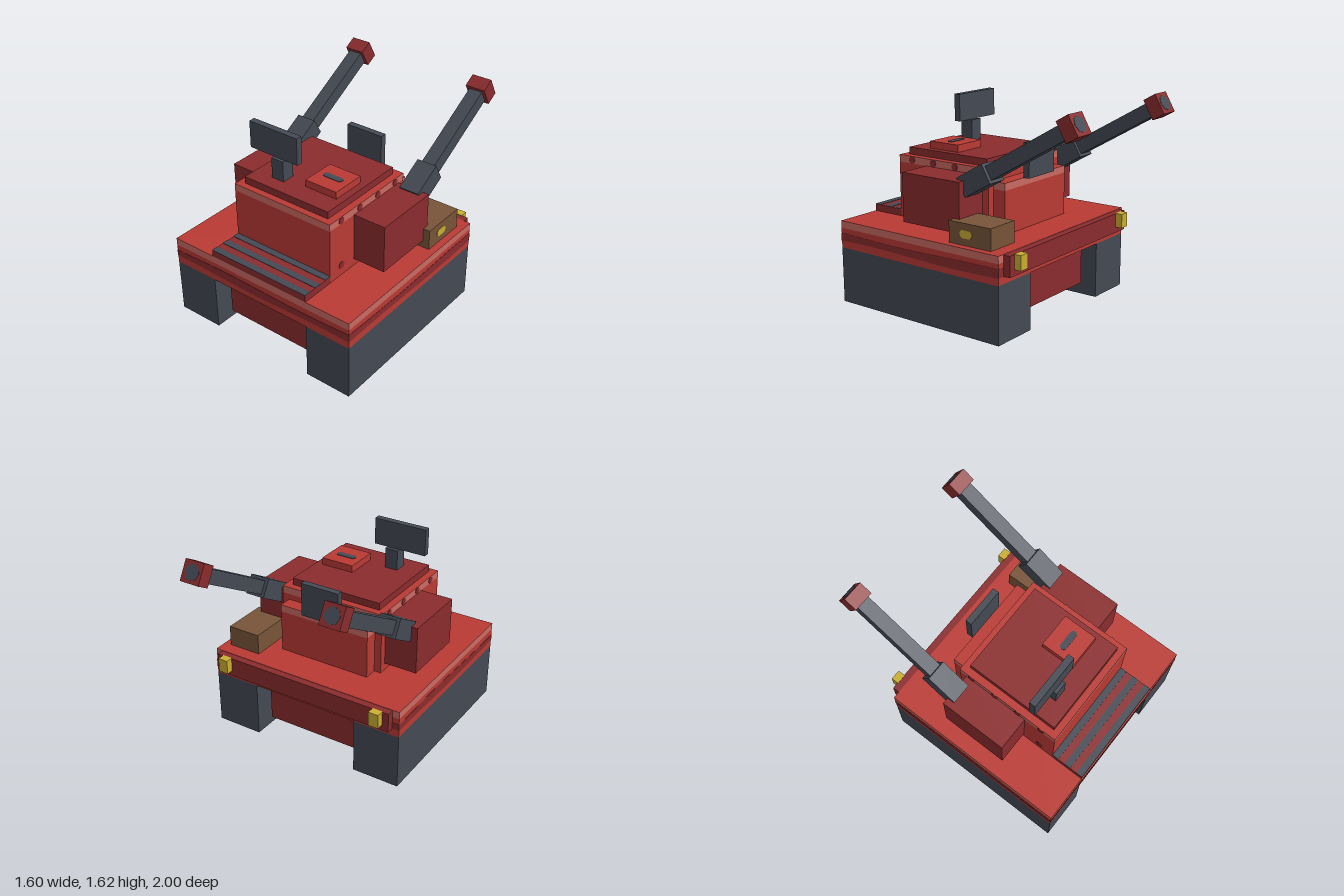
import * as THREE from 'three';

const paint = (name, color) => {
  const m = new THREE.MeshStandardMaterial({ color });
  m.name = name;
  return m;
};

export function createModel() {
  const red = paint('red', 0xba3a34);
  const darkRed = paint('dark red', 0x8b2c2e);
  const lightRed = paint('light red', 0xcb6a63);
  const steel = paint('dark steel', 0x444a54);
  const brown = paint('brown', 0x785439);
  const yellow = paint('yellow', 0xcaae32);

  const model = new THREE.Group();
  const add = (name, geometry, material, parent = model) => {
    const mesh = new THREE.Mesh(geometry, material);
    mesh.name = name;
    parent.add(mesh);
    return mesh;
  };
  // Box given by its extents along each axis
  const box = (name, material, [x0, x1], [y0, y1], [z0, z1]) => {
    const mesh = add(name, new THREE.BoxGeometry(x1 - x0, y1 - y0, z1 - z0), material);
    mesh.position.set((x0 + x1) / 2, (y0 + y1) / 2, (z0 + z1) / 2);
    return mesh;
  };
  // Box with a pale rim along the top of its sides and a red top
  const rimmed = [lightRed, lightRed, red, red, lightRed, lightRed];
  const rimmedBox = (name, xs, [y0, y1], zs) => {
    box(name, red, xs, [y0, y1 - 0.055], zs);
    box(name + 'Rim', rimmed, xs, [y1 - 0.055, y1], zs);
  };
  // Thin plate with rounded ends, facing +z
  const pill = (length, height) => {
    const r = height / 2, a = length / 2 - r, s = new THREE.Shape();
    s.absarc(a, 0, r, -Math.PI / 2, Math.PI / 2);
    s.absarc(-a, 0, r, Math.PI / 2, Math.PI * 1.5);
    return new THREE.ExtrudeGeometry(s, { depth: 0.004, bevelEnabled: false, curveSegments: 6 });
  };

  // Lower hull and deck
  box('lowerHull', darkRed, [-0.375, 0.375], [0.11, 0.43], [-0.39, 0.9]);
  rimmedBox('deck', [-0.8, 0.8], [0.43, 0.64], [-0.49, 1]);

  // Slightly wavy dark stripe around the deck
  const stripe = new THREE.BoxGeometry(1.604, 0.06, 1.494, 24, 1, 24);
  const p = stripe.attributes.position;
  for (let i = 0; i < p.count; i++) {
    const t = p.getX(i) * 5 + p.getZ(i) * 4;
    p.setY(i, p.getY(i) + 0.007 * Math.sin(t + (p.getY(i) > 0 ? 0 : 2)));
  }
  add('deckStripe', stripe, darkRed).position.set(0, 0.512, 0.255);

  // Rear bumper
  box('bumper', darkRed, [-0.745, 0.745], [0.485, 0.637], [-0.545, -0.49]);

  // Slatted grille
  box('grille', darkRed, [-0.43, 0.43], [0.64, 0.693], [0.73, 1]);
  for (let i = 0; i < 3; i++) {
    const z = 0.73 + i * 0.109;
    box('grilleSlat', steel, [-0.43, 0.43], [0.692, 0.696], [z, z + 0.052]);
  }

  // Turret
  rimmedBox('turret', [-0.43, 0.43], [0.64, 1.12], [-0.12, 0.73]);
  rimmedBox('turretBack', [-0.375, 0.375], [0.64, 1.02], [-0.225, -0.12]);
  box('roofPlate', darkRed, [-0.375, 0.375], [1.12, 1.175], [-0.065, 0.68]);
  box('hatch', red, [0.05, 0.32], [1.175, 1.23], [0.25, 0.52]);
  const slot = add('hatchSlot', pill(0.165, 0.05), steel);
  slot.rotation.x = -Math.PI / 2;
  slot.position.set(0.183, 1.23, 0.38);

  // Sensor panels
  box('sensorPost', steel, [-0.215, -0.11], [1.175, 1.335], [0.465, 0.57]);
  box('sensorPanel', steel, [-0.43, 0], [1.335, 1.545], [0.495, 0.545]);
  box('rearPanel', steel, [-0.16, 0.155], [1.02, 1.28], [-0.275, -0.225]);

  // Storage crate with a latch
  box('crate', brown, [0.48, 0.745], [0.64, 0.8], [-0.385, -0.015]);
  const latch = add('crateLatch', pill(0.108, 0.06), yellow);
  latch.rotation.y = Math.PI / 2;
  latch.position.set(0.745, 0.722, -0.168);

  // Parts found on both sides
  const rivet = new THREE.CylinderGeometry(0.028, 0.028, 0.008, 10).rotateZ(Math.PI / 2);
  for (const side of [-1, 1]) {
    const span = (a, b) => (side > 0 ? [a, b] : [-b, -a]);
    box('track', steel, span(0.43, 0.8), [0, 0.43], [-0.49, 1]);
    box('sidePod', darkRed, span(0.43, 0.69), [0.695, 1.065], [-0.065, 0.465]);
    box('rearLamp', yellow, span(0.615, 0.695), [0.53, 0.64], [-0.6, -0.54]);
    for (const y of [0.722, 1.092]) {
      for (let i = 0; i < 4; i++) {
        add('rivet', rivet, darkRed).position.set(side * 0.43, y, 0.605 - i * 0.207);
      }
    }

    // Raised gun, built along -z
    const gun = new THREE.Group();
    gun.name = 'gun';
    gun.position.set(side * 0.56, 1.077, -0.15);
    gun.rotation.x = Math.PI / 6;
    model.add(gun);
    add('breech', new THREE.BoxGeometry(0.16, 0.15, 0.256), steel, gun);
    add('barrel', new THREE.BoxGeometry(0.107, 0.107, 0.86), steel, gun).position.z = -0.43;
    add('muzzle', new THREE.BoxGeometry(0.16, 0.16, 0.107), darkRed, gun).position.z = -0.884;
    const bore = add('bore', new THREE.CylinderGeometry(0.06, 0.06, 0.004, 8), steel, gun);
    bore.rotation.x = Math.PI / 2;
    bore.position.z = -0.938;
  }
  return model;
}
